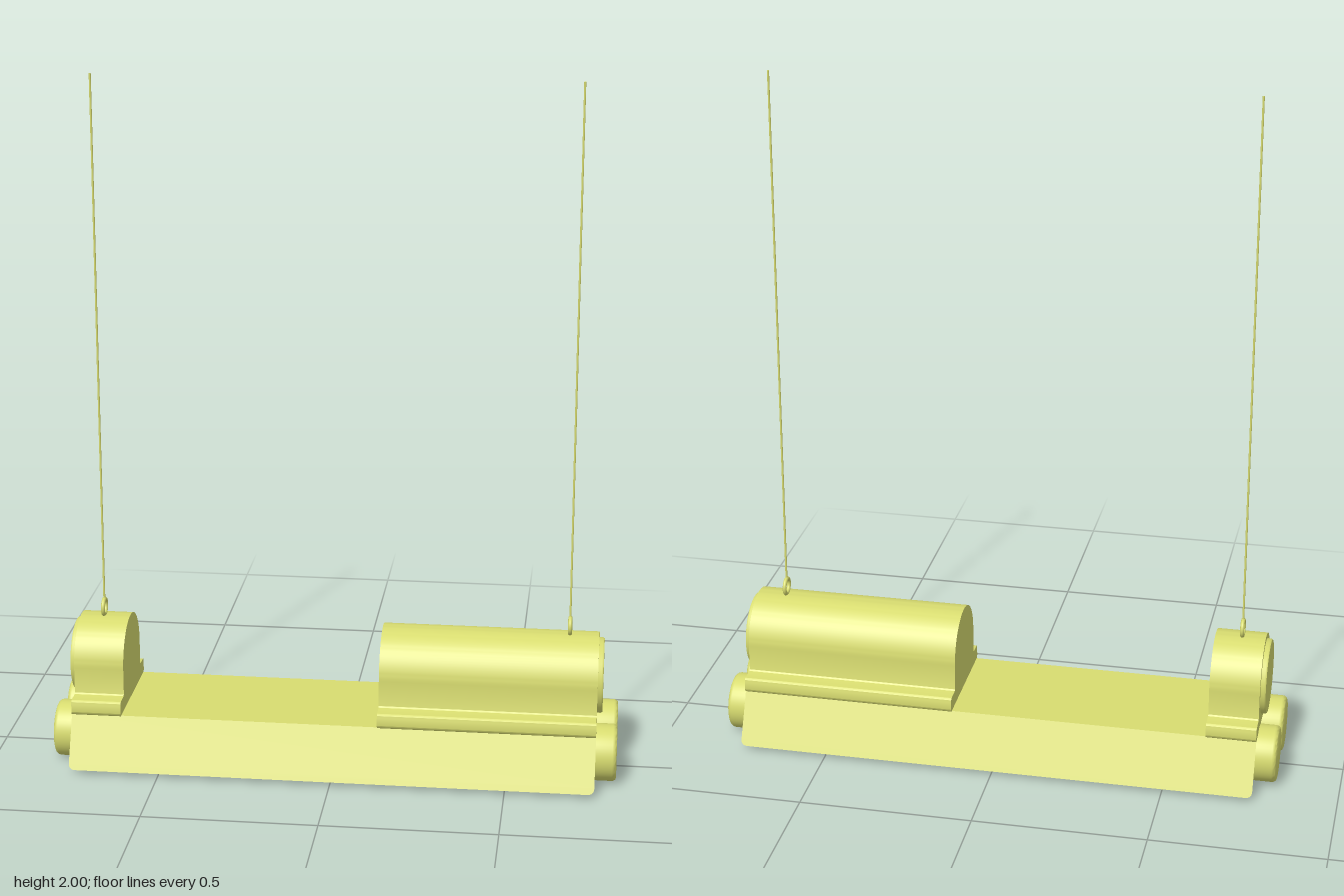
import * as THREE from 'three';
import { toCreasedNormals } from 'three/addons/utils/BufferGeometryUtils.js';

const LEFT = 0.755, RIGHT = -0.76; // ends of the fixture body
const material = new THREE.MeshStandardMaterial({ color: 0xd8dc70 });
const sheet = new THREE.MeshStandardMaterial({ color: 0xd8dc70, side: THREE.DoubleSide });

function add(parent, name, geometry, x = 0, y = 0, z = 0, mat = material) {
  const mesh = new THREE.Mesh(geometry, mat);
  mesh.name = name;
  mesh.position.set(x, y, z);
  parent.add(mesh);
  return mesh;
}

// Cylinder-like solid along +x from [radius, x] points, creased at its edges
function turned(points) {
  const g = new THREE.LatheGeometry(points.map(([r, x]) => new THREE.Vector2(r, x)), 48);
  return toCreasedNormals(g.rotateZ(-Math.PI / 2), 0.6);
}

// Arched housing section standing on a rounded flange
function housingGeometry(length) {
  const s = new THREE.Shape();
  s.moveTo(-0.17, 0.16);
  s.lineTo(0.17, 0.16);
  s.quadraticCurveTo(0.178, 0.162, 0.178, 0.172);
  s.lineTo(0.178, 0.193);
  s.quadraticCurveTo(0.178, 0.205, 0.166, 0.205);
  s.lineTo(0.135, 0.205);
  s.quadraticCurveTo(0.125, 0.205, 0.125, 0.215);
  s.lineTo(0.125, 0.285);
  s.absarc(0, 0.285, 0.125, 0, Math.PI, false);
  s.lineTo(-0.125, 0.215);
  s.quadraticCurveTo(-0.125, 0.205, -0.135, 0.205);
  s.lineTo(-0.166, 0.205);
  s.quadraticCurveTo(-0.178, 0.205, -0.178, 0.193);
  s.lineTo(-0.178, 0.172);
  s.quadraticCurveTo(-0.178, 0.162, -0.17, 0.16);
  const g = new THREE.ExtrudeGeometry(s, { depth: length, bevelEnabled: false, curveSegments: 24 });
  return toCreasedNormals(g.rotateY(Math.PI / 2), 0.6);
}

// Sloping reflector side with rounded lower corners
function wingGeometry(drop) {
  const c = 0.02;
  const s = new THREE.Shape();
  s.moveTo(RIGHT, 0);
  s.lineTo(RIGHT, -drop + c);
  s.quadraticCurveTo(RIGHT, -drop, RIGHT + c, -drop);
  s.lineTo(LEFT - c, -drop);
  s.quadraticCurveTo(LEFT, -drop, LEFT, -drop + c);
  s.lineTo(LEFT, 0);
  return new THREE.ShapeGeometry(s);
}

export function createModel() {
  const model = new THREE.Group();
  model.name = 'hangingTubeLamp';

  // Reflector: flat top and two sloping sides
  const reflector = new THREE.Group();
  reflector.name = 'reflector';
  model.add(reflector);
  const top = new THREE.PlaneGeometry(LEFT - RIGHT, 0.34).rotateX(-Math.PI / 2);
  add(reflector, 'reflectorTop', top, (LEFT + RIGHT) / 2, 0.162, 0, sheet);
  for (const side of [1, -1]) {
    const wing = add(reflector, 'reflectorSide', wingGeometry(Math.hypot(0.07, 0.147)), 0, 0.162, side * 0.17, sheet);
    wing.rotation.x = -side * Math.atan2(0.07, 0.147);
  }

  // Housings with a round lid on the outer end
  add(model, 'shortHousing', housingGeometry(0.145), RIGHT);
  add(model, 'longHousing', housingGeometry(0.625), 0.13);
  const lid = turned([[0, -0.01], [0.109, -0.01], [0.109, 0.01], [0.106, 0.015], [0, 0.015]]);
  add(model, 'leftLid', lid, LEFT, 0.285);
  add(model, 'rightLid', lid, RIGHT, 0.285).rotation.y = Math.PI;

  // Two lamp tubes with capped ends
  const tube = new THREE.CylinderGeometry(0.067, 0.067, 1.5, 40).rotateZ(Math.PI / 2);
  const cap = turned([[0, 0], [0.082, 0], [0.082, 0.118], [0.0805, 0.124], [0.077, 0.128], [0.072, 0.13], [0, 0.13]]);
  for (const z of [0.092, -0.092]) {
    add(model, 'lampTube', tube, 0, 0.085, z);
    add(model, 'leftTubeCap', cap, 0.685, 0.085, z);
    add(model, 'rightTubeCap', cap, -0.688, 0.085, z).rotation.y = Math.PI;
  }

  // Eyelets and suspension wires
  const ring = new THREE.TorusGeometry(0.023, 0.006, 12, 32).rotateY(Math.PI / 2);
  const wire = new THREE.CylinderGeometry(0.003, 0.003, 1.545, 10);
  for (const x of [-0.692, 0.67]) {
    add(model, 'eyelet', ring, x, 0.433);
    add(model, 'wire', wire, x, 1.2275);
  }
  return model;
}
